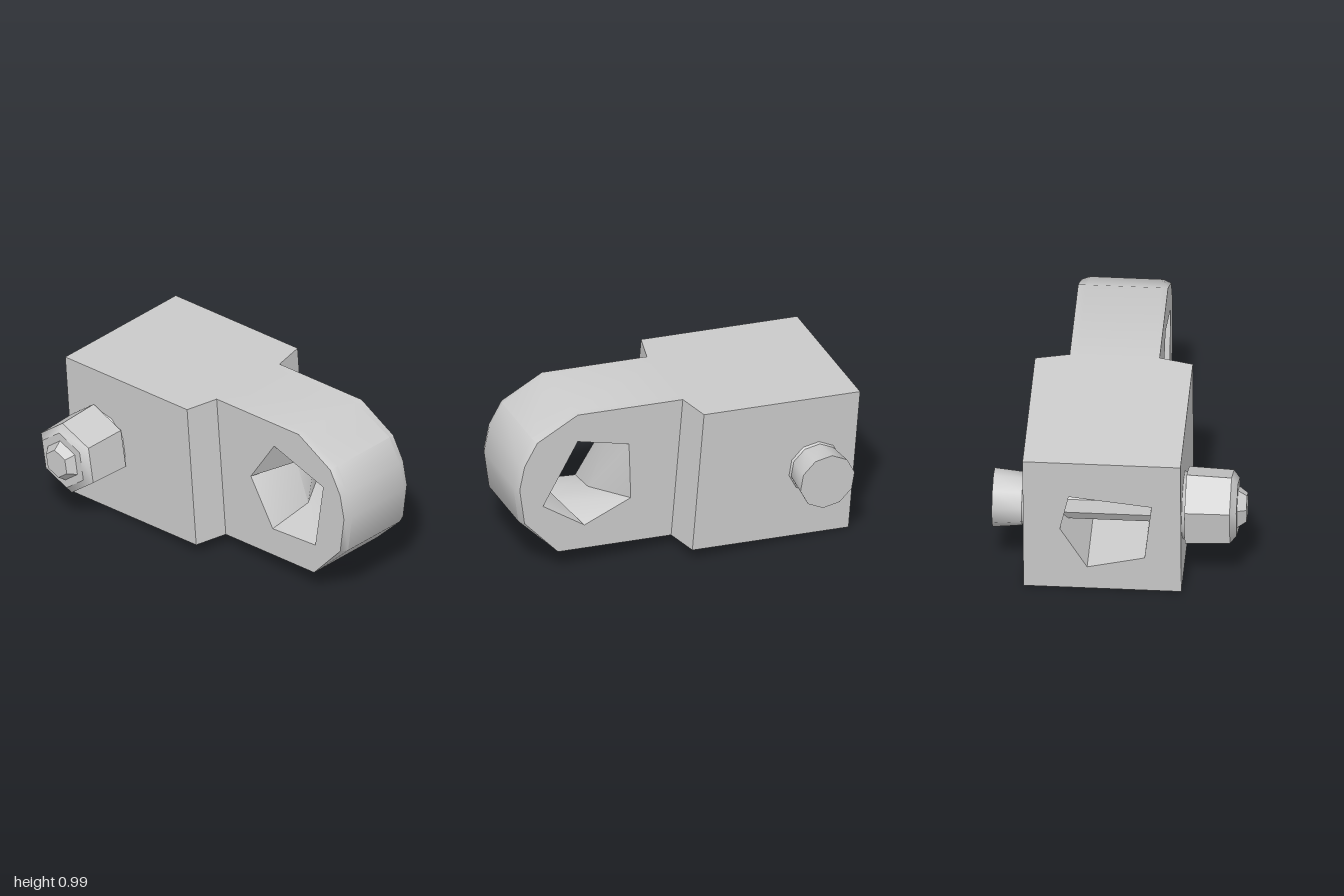
import * as THREE from 'three';
import { mergeGeometries, toCreasedNormals } from 'three/addons/utils/BufferGeometryUtils.js';

const material = new THREE.MeshStandardMaterial({ color: 0xcccccc, side: THREE.DoubleSide });

// Maps flat points into a plane across z or across x
const atZ = z => ([a, b]) => [a, b, z];
const atX = x => ([a, b]) => [x, b, a];

// Skin between consecutive closed loops
function skin(loops) {
  const pos = [];
  for (let k = 0; k < loops.length - 1; k++) {
    const p = loops[k], q = loops[k + 1], n = p.length;
    for (let i = 0; i < n; i++) {
      const j = (i + 1) % n;
      pos.push(...p[i], ...q[i], ...q[j], ...p[i], ...q[j], ...p[j]);
    }
  }
  const geo = new THREE.BufferGeometry();
  geo.setAttribute('position', new THREE.Float32BufferAttribute(pos, 3));
  return geo;
}

// Flat face with an optional hole
function cap(outline, hole, place) {
  const vecs = pts => pts.map(([a, b]) => new THREE.Vector2(a, b));
  const shape = new THREE.Shape(vecs(outline));
  if (hole) shape.holes.push(new THREE.Path(vecs(hole)));
  const geo = new THREE.ShapeGeometry(shape).toNonIndexed();
  const p = geo.attributes.position;
  for (let i = 0; i < p.count; i++) p.setXYZ(i, ...place([p.getX(i), p.getY(i)]));
  geo.deleteAttribute('uv');
  geo.deleteAttribute('normal');
  return geo;
}

function part(name, parts) {
  const mesh = new THREE.Mesh(toCreasedNormals(mergeGeometries(parts), 0.7), material);
  mesh.name = name;
  return mesh;
}

const BOTTOM = 0.083, TOP = 0.947;

// Block with stepped shoulders and a five-sided socket in its end
function makeBlock() {
  const rect = (z0, z1) => [[z0, BOTTOM], [z0, TOP], [z1, TOP], [z1, BOTTOM]];
  const full = rect(-0.525, 0.353), neck = rect(-0.335, 0.165);
  const socket = [[-0.27, 0.714], [0.19, 0.662], [0.15, 0.308], [-0.17, 0.23], [-0.32, 0.489]];
  return part('block', [
    cap(full, socket, atX(-0.92)),
    skin([full.map(atX(-0.92)), full.map(atX(0.027)), neck.map(atX(0.073))]),
    skin([socket.map(atX(-0.92)), socket.map(atX(-0.2))]),
    cap(socket, null, atX(-0.2)),
  ]);
}

// Rounded eye with a twisted five-sided hole
function makeEye() {
  const outer = [[0.02, BOTTOM], [0.02, TOP], [0.71, TOP], [0.96, 0.814], [1.028, 0.668],
    [1.046, 0.516], [0.997, 0.289], [0.759, BOTTOM]];
  const inset = outer.map(([x, y]) => (x > 0.8 ? [0.5 + (x - 0.5) * 0.965, 0.51 + (y - 0.51) * 0.965] : [x, y]));
  const front = [[0.305, 0.537], [0.507, 0.801], [0.878, 0.67], [0.784, 0.267], [0.452, 0.254]];
  const middle = [[0.394, 0.64], [0.723, 0.743], [0.84, 0.453], [0.765, 0.268], [0.488, 0.321]];
  const back = [[0.38, 0.711], [0.696, 0.776], [0.875, 0.39], [0.611, 0.231], [0.341, 0.363]];
  return part('eye', [
    cap(inset, front, atZ(0.165)),
    cap(inset, back, atZ(-0.335)),
    skin([inset.map(atZ(0.165)), outer.map(atZ(0.12)), outer.map(atZ(-0.29)), inset.map(atZ(-0.335))]),
    skin([front.map(atZ(0.165)), middle.map(atZ(-0.085)), back.map(atZ(-0.335))]),
  ]);
}

// Faceted cylinder along z
function rod(name, rFront, rBack, z0, z1, sides) {
  const geo = new THREE.CylinderGeometry(rFront, rBack, z1 - z0, sides).rotateX(Math.PI / 2);
  geo.rotateZ(0.09).translate(0, 0, (z0 + z1) / 2);
  const mesh = new THREE.Mesh(toCreasedNormals(geo, 0.7), material);
  mesh.name = name;
  return mesh;
}

export function createModel() {
  const model = new THREE.Group();
  const body = new THREE.Group();
  body.name = 'clevis';
  body.rotation.z = 0.082;
  body.add(makeBlock(), makeEye());

  // Cross bolt with nut in front and round head behind
  const bolt = new THREE.Group();
  bolt.name = 'crossBolt';
  bolt.position.set(-0.68, 0.507, 0);
  bolt.add(
    rod('washer', 0.18, 0.2, 0.34, 0.372, 10),
    rod('nut', 0.215, 0.225, 0.37, 0.62, 6),
    rod('nutChamfer', 0.17, 0.215, 0.62, 0.655, 6),
    rod('boltTip', 0.085, 0.125, 0.65, 0.705, 6),
    rod('shank', 0.1, 0.1, -0.53, 0.6, 8),
    rod('headCollar', 0.16, 0.14, -0.55, -0.52, 10),
    rod('head', 0.15, 0.165, -0.705, -0.54, 10),
  );
  body.add(bolt);
  model.add(body);
  return model;
}
